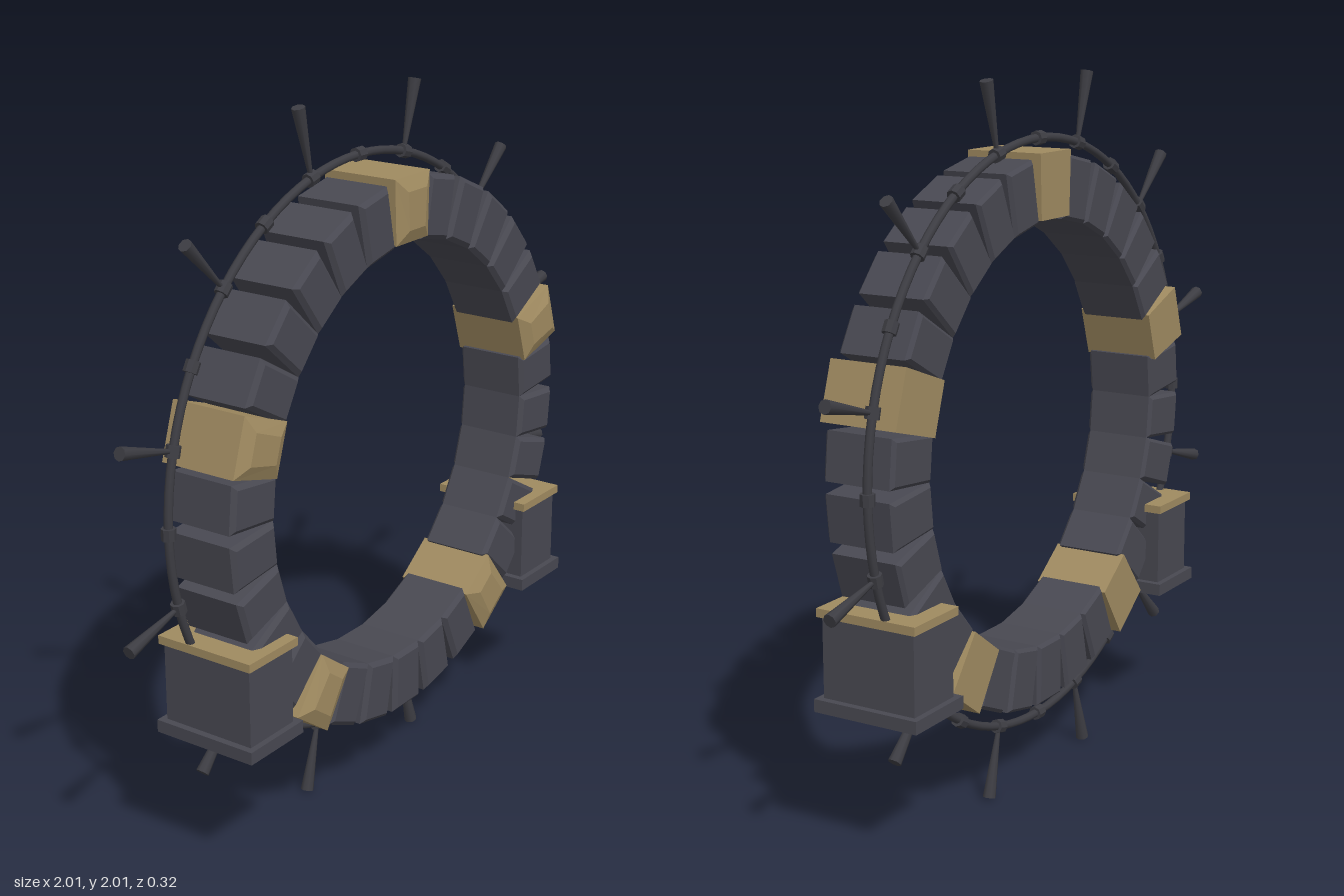
import * as THREE from 'three';

const stone = new THREE.MeshStandardMaterial({ color: 0x484851, flatShading: true });
stone.name = 'dark stone';
const gold = new THREE.MeshStandardMaterial({ color: 0x9f8a60, flatShading: true });
gold.name = 'old gold';
const metal = new THREE.MeshStandardMaterial({ color: 0x3d3d43 });
metal.name = 'dark metal';

const CENTRE_Y = 1;
const ROD_RADIUS = 0.832;
const ROD_Z = -0.055;

// Block lofted along z through rectangles [z, inset]; outer and inner widths may differ
function blockGeometry(outerW, innerW, r0, r1, sections) {
  const rings = sections.map(([z, d]) => [
    [-innerW / 2 + d, r0 + d, z], [innerW / 2 - d, r0 + d, z],
    [outerW / 2 - d, r1 - d, z], [-outerW / 2 + d, r1 - d, z],
  ]);
  const pos = [];
  const quad = (a, b, c, d) => pos.push(...a, ...b, ...c, ...a, ...c, ...d);
  for (let i = 0; i < rings.length - 1; i++) {
    const A = rings[i], B = rings[i + 1];
    for (let k = 0; k < 4; k++) quad(A[k], A[(k + 1) % 4], B[(k + 1) % 4], B[k]);
  }
  const back = rings[0], front = rings[rings.length - 1];
  quad(back[3], back[2], back[1], back[0]);
  quad(front[0], front[1], front[2], front[3]);
  const g = new THREE.BufferGeometry();
  g.setAttribute('position', new THREE.Float32BufferAttribute(pos, 3));
  g.computeVertexNormals();
  return g;
}

function add(parent, name, geometry, material, x = 0, y = 0, z = 0) {
  const m = new THREE.Mesh(geometry, material);
  m.name = name;
  m.position.set(x, y, z);
  parent.add(m);
  return m;
}

export function createModel() {
  const model = new THREE.Group();
  model.name = 'stoneRingGate';

  // Ring of 30 blocks, every sixth one a golden keystone
  const ring = new THREE.Group();
  ring.name = 'stoneRing';
  ring.position.y = CENTRE_Y;
  model.add(ring);
  const plain = blockGeometry(0.132, 0.128, 0.605, 0.785,
    [[-0.1, 0.01], [-0.09, 0], [0.106, 0], [0.118, 0.013]]);
  const key = blockGeometry(0.164, 0.15, 0.615, 0.798,
    [[-0.11, 0], [0.122, 0], [0.14, 0.038]]);
  for (let i = 0; i < 30; i++) {
    const isKey = i % 6 === 0;
    const block = add(ring, isKey ? 'keystone' : 'ringBlock', isKey ? key : plain, isKey ? gold : stone);
    block.rotation.z = -i * Math.PI / 15;
  }

  // Thin outer hoop with 24 collars and 12 flared spikes
  const hoop = new THREE.Group();
  hoop.name = 'outerHoop';
  hoop.position.set(0, CENTRE_Y, ROD_Z);
  model.add(hoop);
  add(hoop, 'hoopRod', new THREE.TorusGeometry(ROD_RADIUS, 0.012, 8, 96), metal);
  const collar = new THREE.CylinderGeometry(0.02, 0.02, 0.032, 8).rotateZ(Math.PI / 2).toNonIndexed();
  collar.computeVertexNormals();
  const spike = new THREE.CylinderGeometry(0.019, 0.006, 0.195, 8);
  for (let i = 0; i < 24; i++) {
    const arm = new THREE.Group();
    arm.name = 'hoopJoint';
    arm.rotation.z = -i * Math.PI / 12;
    hoop.add(arm);
    add(arm, 'collar', collar, metal, 0, ROD_RADIUS, 0);
    if (i % 2) add(arm, 'spike', spike, metal, 0, 0.9375, 0);
  }

  // Pedestals holding the ring on both sides
  for (const side of [-1, 1]) {
    const pedestal = new THREE.Group();
    pedestal.name = side > 0 ? 'leftPedestal' : 'rightPedestal';
    pedestal.position.x = side * 0.675;
    model.add(pedestal);
    add(pedestal, 'pedestalBase', new THREE.BoxGeometry(0.222, 0.036, 0.322), stone, 0, 0.402, 0);
    add(pedestal, 'pedestalBody', new THREE.BoxGeometry(0.182, 0.24, 0.286), stone, 0, 0.535, 0);
    add(pedestal, 'pedestalCap', new THREE.BoxGeometry(0.204, 0.024, 0.308), gold, 0, 0.656, 0);
  }
  return model;
}
